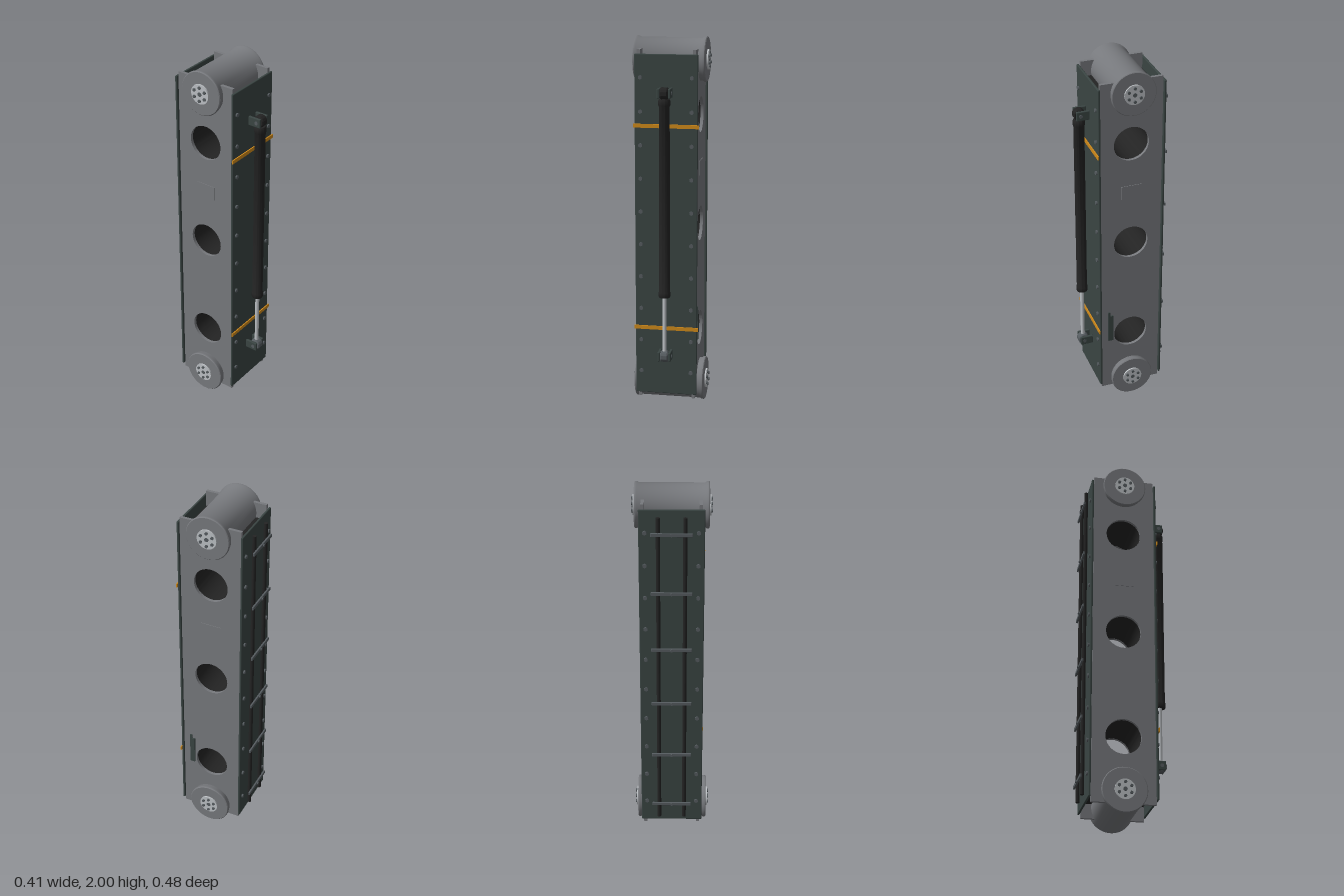
import * as THREE from 'three';
import { toCreasedNormals } from 'three/addons/utils/BufferGeometryUtils.js';
import { RoundedBoxGeometry } from 'three/addons/geometries/RoundedBoxGeometry.js';

const material = (name, color) => {
  const m = new THREE.MeshStandardMaterial({ color });
  m.name = name;
  return m;
};
const steel = material('grey steel', 0x77797d);
const deckPaint = material('dark green grey', 0x3a4543);
const black = material('black', 0x232323);
const orange = material('orange', 0xd08a1a);
const silver = material('silver', 0xbcc0c4);
const boltSteel = material('bolt steel', 0x565c60);

const CZ = -0.02; // depth of the boom's centre line
const HOLES = [0.414, 1.003, 1.592];

export function createModel() {
  const root = new THREE.Group();

  const add = (name, geometry, mat, x = 0, y = 0, z = 0, parent = root) => {
    const mesh = new THREE.Mesh(geometry, mat);
    mesh.name = name;
    mesh.position.set(x, y, z);
    parent.add(mesh);
    return mesh;
  };
  const box = (name, mat, w, h, d, x, y, z, r = 0) =>
    add(name, r ? new RoundedBoxGeometry(w, h, d, 2, r) : new THREE.BoxGeometry(w, h, d), mat, x, y, z);
  const rod = (name, mat, axis, r, length, x, y, z, sides = 32) => {
    const g = new THREE.CylinderGeometry(r, r, length, sides);
    if (axis === 'x') g.rotateZ(Math.PI / 2);
    if (axis === 'z') g.rotateX(Math.PI / 2);
    return add(name, g, mat, x, y, z);
  };
  // Lathe profile of [radius, height] pairs with crisp edges
  const lathe = (profile) => toCreasedNormals(
    new THREE.LatheGeometry(profile.map(([r, h]) => new THREE.Vector2(r, h)), 64), 0.6);

  // Upright slab with three round holes, extruded along x and centred
  const holedSlab = (z0, z1, y0, y1, thickness, holeRadius) => {
    const s = new THREE.Shape();
    s.moveTo(-z1, y0);
    s.lineTo(-z0, y0);
    s.lineTo(-z0, y1);
    s.lineTo(-z1, y1);
    s.closePath();
    for (const y of HOLES) {
      const hole = new THREE.Path();
      hole.absarc(-CZ, y, holeRadius, 0, Math.PI * 2, true);
      s.holes.push(hole);
    }
    const g = new THREE.ExtrudeGeometry(s, { depth: thickness, bevelEnabled: false, curveSegments: 32 });
    g.translate(0, 0, -thickness / 2).rotateY(Math.PI / 2);
    return toCreasedNormals(g, 0.6);
  };

  // Dark core between the side plates
  add('innerCore', holedSlab(-0.182, 0.144, 0.14, 1.86, 0.276, 0.095), black);

  // Side plates
  for (const side of [-1, 1]) {
    add('sidePlate', holedSlab(-0.186, 0.148, 0.062, 1.942, 0.017, 0.094), steel, side * 0.146);
    box('dataPlate', steel, 0.004, 0.075, 0.11, side * 0.1555, 1.312, CZ);
  }
  // Small guard beside the lower opening
  box('guardPlate', deckPaint, 0.008, 0.19, 0.012, 0.158, 0.476, 0.104);
  box('guardBlock', deckPaint, 0.012, 0.165, 0.018, 0.158, 0.465, 0.09);

  // End rollers with flanges, hub caps and bolts
  const rollerProfile = [
    [0, -0.19], [0.114, -0.19], [0.118, -0.186], [0.118, -0.176], [0.112, -0.166],
    [0.112, 0.166], [0.118, 0.176], [0.118, 0.186], [0.114, 0.19], [0, 0.19],
  ];
  for (const y of [0.123, 1.882]) {
    add('endRoller', lathe(rollerProfile).rotateZ(Math.PI / 2), steel, 0, y, CZ);
    for (const side of [-1, 1]) {
      rod('hubCap', silver, 'x', 0.053, 0.008, side * 0.194, y, CZ, 40);
      rod('hubCentre', boltSteel, 'x', 0.011, 0.004, side * 0.199, y, CZ, 20);
      for (let i = 0; i < 6; i++) {
        const a = i * Math.PI / 3;
        rod('hubBolt', boltSteel, 'x', 0.0085, 0.008, side * 0.201,
          y + 0.036 * Math.cos(a), CZ + 0.036 * Math.sin(a), 6);
      }
    }
  }

  // Front and back cover plates with rows of bolts
  for (const [z, boltZ, label] of [[0.154, 0.163, 'front'], [-0.194, -0.203, 'back']]) {
    box(label + 'Cover', deckPaint, 0.332, 1.834, 0.012, 0, 1.003, z, 0.004);
    for (let i = 0; i < 10; i++) {
      for (const side of [-1, 1]) {
        rod(label + 'CoverBolt', boltSteel, 'z', 0.0115, 0.01, side * 0.135, 0.212 + i * 0.1765, boltZ, 6);
      }
    }
  }

  // Orange bands across the front cover
  for (const y of [0.458, 1.55]) box('orangeBand', orange, 0.347, 0.02, 0.006, 0, y, 0.163);

  // Hoses on the back, held by bolted clamps
  for (const side of [-1, 1]) rod('hose', black, 'y', 0.0105, 1.765, side * 0.068, 1.003, -0.216, 20);
  for (let i = 0; i < 6; i++) {
    const y = 0.21 + i * 0.318;
    box('hoseClamp', boltSteel, 0.21, 0.018, 0.01, 0, y, -0.2295, 0.002);
    rod('clampBolt', boltSteel, 'z', 0.008, 0.008, 0, y, -0.2365, 6);
  }

  // Hydraulic ram: barrel with collars, rod, eyes and mounting lugs
  const ramZ = 0.207;
  const barrel = [
    [0, 0.645], [0.029, 0.645], [0.031, 0.65], [0.031, 0.672], [0.028, 0.678],
    [0.028, 1.66], [0.031, 1.666], [0.031, 1.688], [0.027, 1.697], [0, 1.697],
  ];
  add('ramBarrel', lathe(barrel), black, 0, 0, ramZ);
  rod('ramRod', silver, 'y', 0.011, 0.34, 0, 0.49, ramZ, 24);
  rod('ramNeck', black, 'y', 0.016, 0.06, 0, 1.705, ramZ, 24);
  for (const [y, eyeMat] of [[0.316, boltSteel], [1.726, black]]) {
    const eye = [[0, -0.021], [0.026, -0.021], [0.031, -0.015], [0.031, 0.015], [0.026, 0.021], [0, 0.021]];
    add('ramEye', lathe(eye).rotateZ(Math.PI / 2), eyeMat, 0, y, ramZ);
    for (const side of [-1, 1]) {
      box('ramLug', deckPaint, 0.014, 0.05, 0.07, side * 0.029, y, 0.194, 0.004);
    }
    rod('ramPin', boltSteel, 'x', 0.01, 0.076, 0, y, ramZ, 20);
  }

  return root;
}
